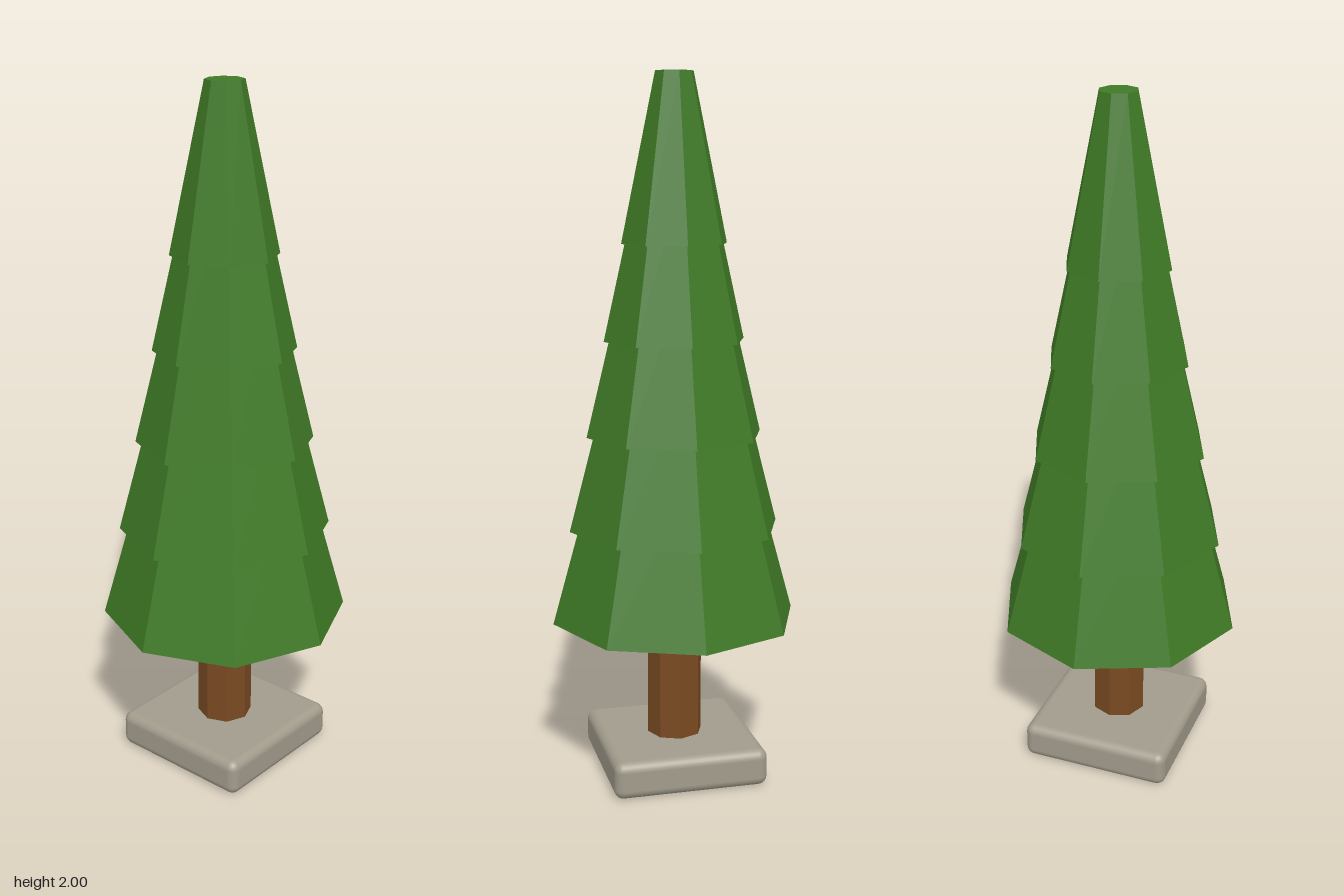
import * as THREE from 'three';
import { RoundedBoxGeometry } from 'three/addons/geometries/RoundedBoxGeometry.js';

const SIDES = 8;

function material(name, color, flatShading) {
  const m = new THREE.MeshStandardMaterial({ color, flatShading });
  m.name = name;
  return m;
}

function addMesh(parent, name, geometry, mat, y) {
  const mesh = new THREE.Mesh(geometry, mat);
  mesh.name = name;
  mesh.position.y = y;
  parent.add(mesh);
}

export function createModel() {
  const tree = new THREE.Group();
  tree.name = 'tree';
  const green = material('foliage green', 0x3f7a26, true);
  const brown = material('bark brown', 0x7a4a22, true);
  const grey = material('stone grey', 0xa19b8b, false);

  // Square stone base with rounded edges
  addMesh(tree, 'base', new RoundedBoxGeometry(0.446, 0.108, 0.446, 3, 0.027), grey, 0.056);

  // Eight-sided trunk
  addMesh(tree, 'trunk', new THREE.CylinderGeometry(0.08, 0.08, 0.42, SIDES), brown, 0.3);

  // Overlapping foliage tiers, narrowing upwards to a blunt tip
  const foliage = new THREE.Group();
  foliage.name = 'foliage';
  tree.add(foliage);
  const tiers = 5, height = 0.464;
  for (let i = 0; i < tiers; i++) {
    const t = i / (tiers - 1);
    const bottom = THREE.MathUtils.lerp(0.356, 0.151, t);
    const top = THREE.MathUtils.lerp(0.226, 0.054, t);
    const y = THREE.MathUtils.lerp(0.461, 2 - height, t);
    addMesh(foliage, `foliageTier${i + 1}`,
      new THREE.CylinderGeometry(top, bottom, height, SIDES), green, y + height / 2);
  }
  return tree;
}
